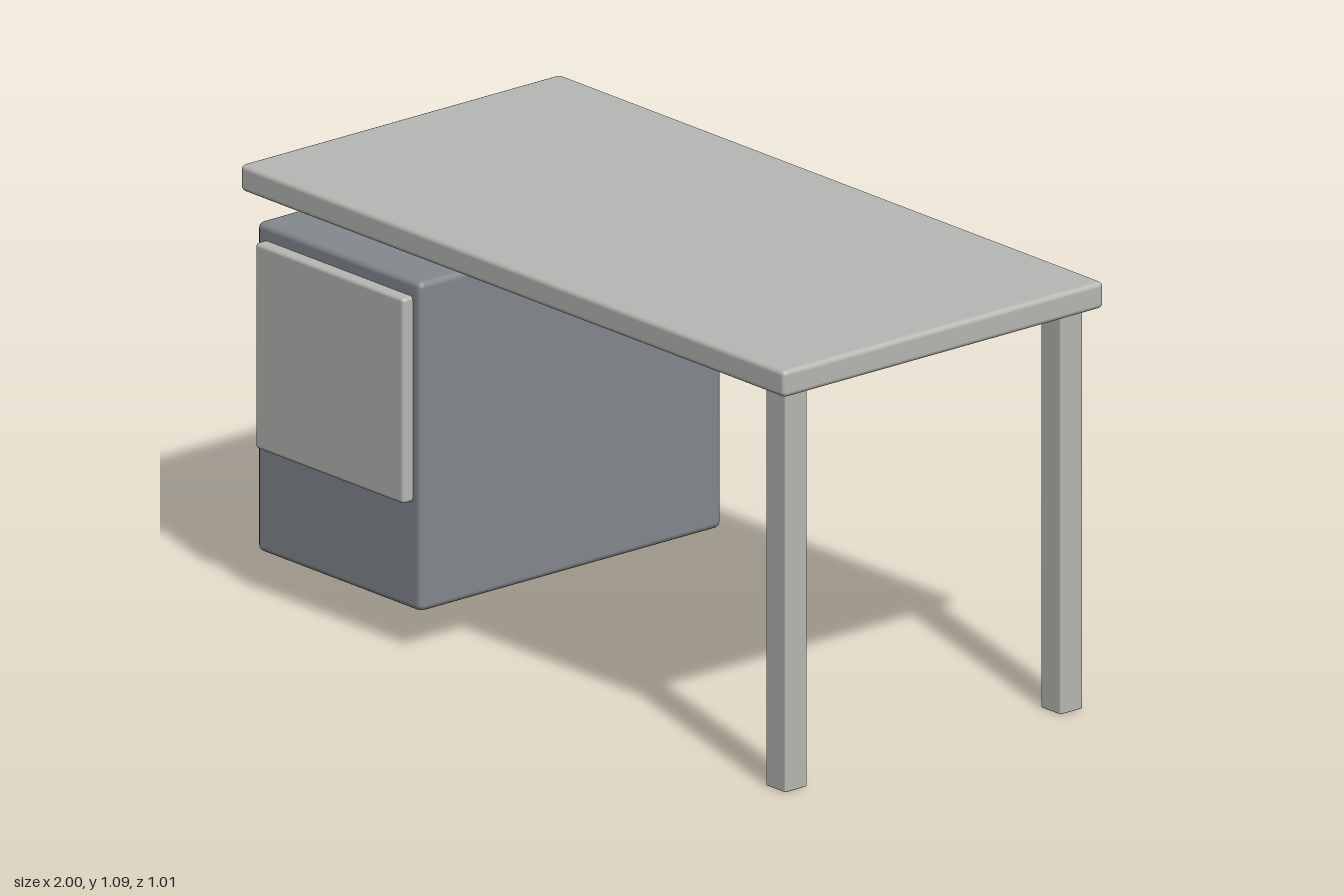
import * as THREE from 'three';
import { RoundedBoxGeometry } from 'three/addons/geometries/RoundedBoxGeometry.js';

export function createModel() {
  const desk = new THREE.Group();
  desk.name = 'desk';

  const lightGrey = new THREE.MeshStandardMaterial({ color: 0xb7b7b4 });
  lightGrey.name = 'light grey';
  const slateGrey = new THREE.MeshStandardMaterial({ color: 0x84898f });
  slateGrey.name = 'slate grey';

  // Softly bevelled box spanning two opposite corners
  function block(name, material, min, max, bevel) {
    const size = max.map((v, i) => v - min[i]);
    const mesh = new THREE.Mesh(new RoundedBoxGeometry(...size, 2, bevel), material);
    mesh.position.set(...max.map((v, i) => (v + min[i]) / 2));
    mesh.name = name;
    desk.add(mesh);
  }

  // Table top
  block('tableTop', lightGrey, [-1, 1.018, -0.506], [1, 1.086, 0.506], 0.013);

  // Two legs on the open side
  block('frontLeg', lightGrey, [0.89, 0, 0.4], [0.962, 1.018, 0.47], 0.004);
  block('backLeg', lightGrey, [0.89, 0, -0.47], [0.962, 1.018, -0.4], 0.004);

  // Hanging cabinet with its raised door
  block('cabinet', slateGrey, [-0.972, 0.106, -0.477], [-0.37, 0.942, 0.477], 0.016);
  block('cabinetDoor', lightGrey, [-0.944, 0.38, 0.44], [-0.398, 0.902, 0.507], 0.01);

  return desk;
}
